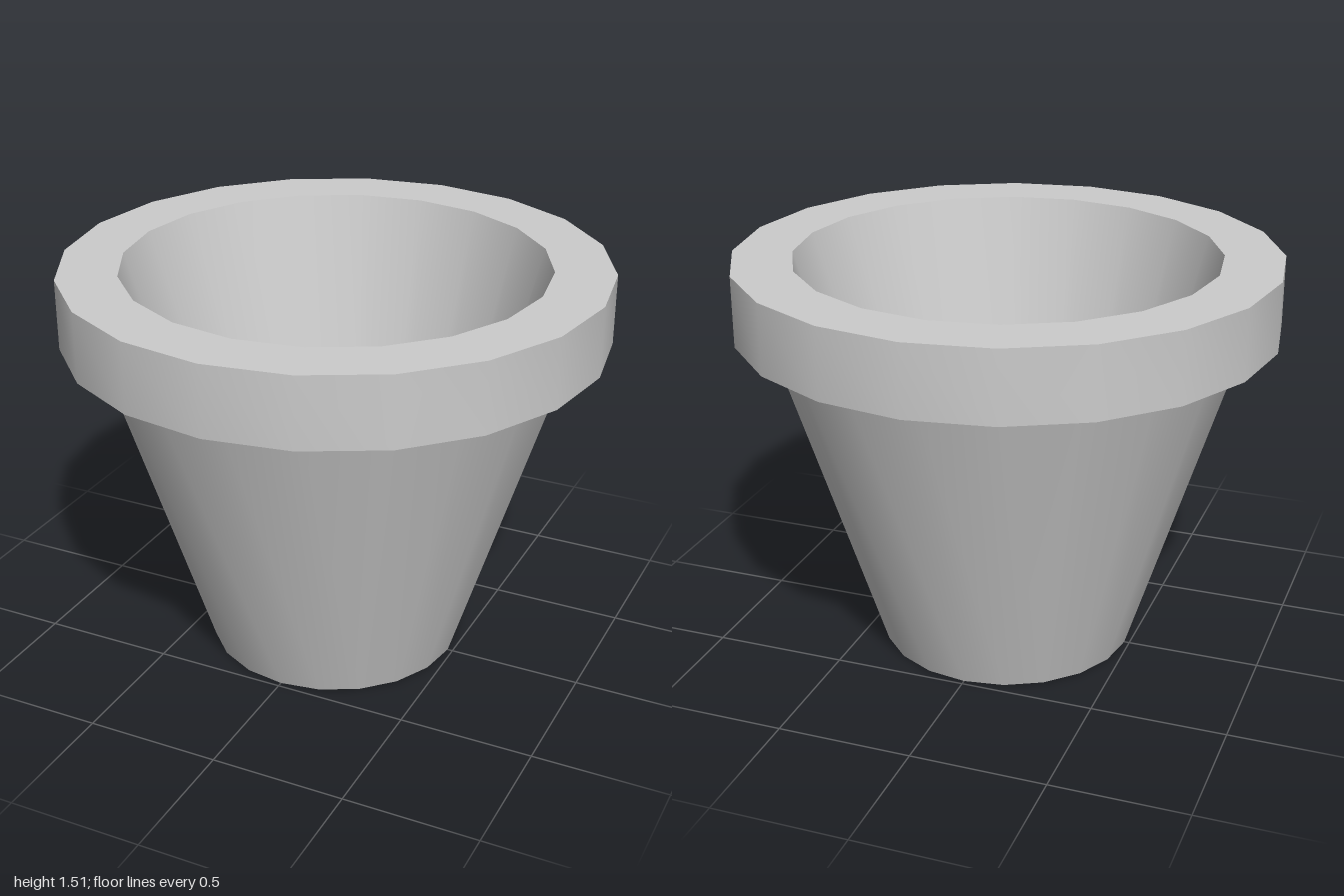
import * as THREE from 'three';
import { toCreasedNormals } from 'three/addons/utils/BufferGeometryUtils.js';

const SIDES = 20;
const material = new THREE.MeshStandardMaterial({ color: 0xcccccc });

// Revolves a profile of [radius, height] points; soft around, sharp at corners
function turned(name, profile) {
  const points = profile.map(([r, y]) => new THREE.Vector2(r, y));
  const geometry = toCreasedNormals(new THREE.LatheGeometry(points, SIDES), Math.PI / 6);
  const mesh = new THREE.Mesh(geometry, material);
  mesh.name = name;
  return mesh;
}

export function createModel() {
  const pot = new THREE.Group();
  pot.name = 'flowerPot';

  // Closed base and tapered outer wall
  pot.add(turned('body', [[0, 0], [0.48, 0], [0.875, 1.255]]));

  // Overhanging rim: underside, outer band and flat top
  pot.add(turned('rim', [[0.875, 1.255], [1, 1.255], [1, 1.515], [0.78, 1.515]]));

  // Tapered inner wall and floor
  pot.add(turned('inside', [[0.78, 1.515], [0.425, 0.2], [0, 0.2]]));

  return pot;
}
